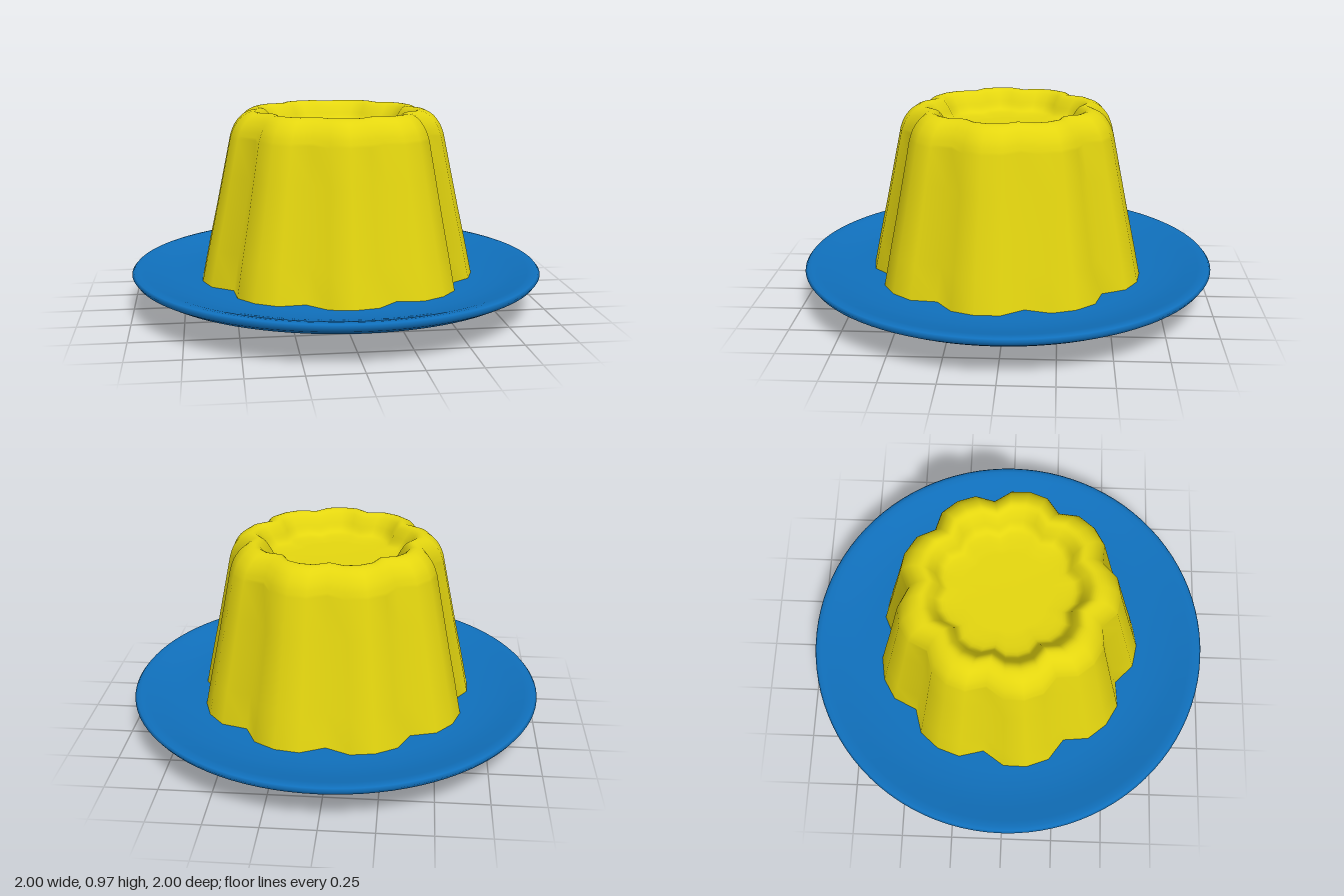
import * as THREE from 'three';
import { mergeVertices } from 'three/addons/utils/BufferGeometryUtils.js';

const LOBES = 9;
const toPoints = (list) => list.map(([r, y]) => new THREE.Vector2(r, y));

// Fluted pudding: a lathe whose radius follows nine rounded lobes with sharp valleys
function flutedGeometry(profile) {
  const geo = new THREE.LatheGeometry(profile, LOBES * 4);
  const pos = geo.attributes.position;
  for (let i = 0; i < pos.count; i++) {
    const x = pos.getX(i), z = pos.getZ(i);
    const wave = Math.abs(Math.cos(Math.atan2(x, z) * LOBES / 2));
    const depth = 0.11 * THREE.MathUtils.smoothstep(Math.hypot(x, z), 0.12, 0.3);
    const k = 1 - depth * Math.pow(1 - wave, 1.5);
    pos.setX(i, x * k);
    pos.setZ(i, z * k);
  }
  // weld the seam so the smooth normals run all the way round
  geo.deleteAttribute('uv');
  geo.deleteAttribute('normal');
  const welded = mergeVertices(geo, 1e-4);
  welded.computeVertexNormals();
  return welded;
}

export function createModel() {
  const group = new THREE.Group();
  const blue = new THREE.MeshStandardMaterial({ color: 0x1070bc });
  blue.name = 'plate blue';
  const yellow = new THREE.MeshStandardMaterial({ color: 0xe4d60f });
  yellow.name = 'pudding yellow';

  // Plate: solid foot, flared underside, rounded rim and shallow dish
  const plate = new THREE.Mesh(new THREE.LatheGeometry(toPoints([
    [0, 0.008], [0.49, 0.008], [0.515, 0.014], [0.53, 0.03], [0.545, 0.058], [0.57, 0.072],
    [0.72, 0.097], [0.84, 0.125], [0.94, 0.158], [0.985, 0.182], [1, 0.203], [0.99, 0.215],
    [0.97, 0.218], [0.94, 0.213], [0.88, 0.196], [0.8, 0.18], [0.7, 0.172], [0, 0.17],
  ]), 96), blue);
  plate.name = 'plate';
  group.add(plate);

  // Pudding: tapered wall, rounded shoulder and sunken top
  const wall = toPoints([[0.672, 0.165], [0.635, 0.34], [0.597, 0.51], [0.559, 0.69]]);
  const crown = new THREE.SplineCurve(toPoints([
    [0.522, 0.865], [0.502, 0.915], [0.465, 0.96], [0.42, 0.982], [0.385, 0.975],
    [0.355, 0.94], [0.33, 0.9], [0.295, 0.88], [0.2, 0.872],
  ])).getPoints(24);
  const pudding = new THREE.Mesh(
    flutedGeometry([...wall, ...crown, new THREE.Vector2(0, 0.87)]), yellow);
  pudding.name = 'pudding';
  group.add(pudding);

  return group;
}
